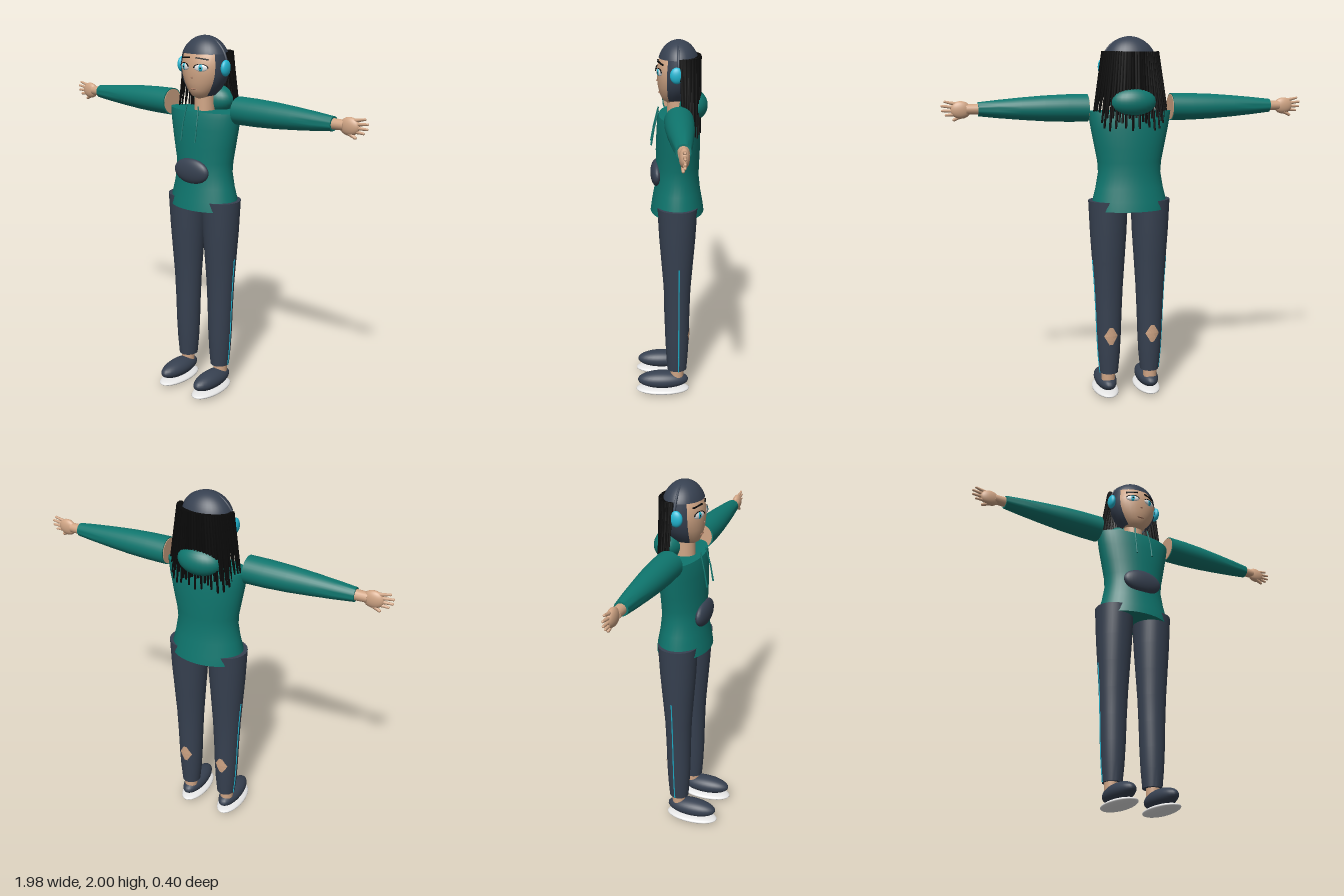
import * as THREE from 'three';
import { toCreasedNormals } from 'three/addons/utils/BufferGeometryUtils.js';

const mat = (name, color, side = THREE.FrontSide) => {
  const m = new THREE.MeshStandardMaterial({ color, side });
  m.name = name;
  return m;
};

// Closed or partial skin over elliptical rings [y, rx, rz, cz]
function loft(rings, { from = 0, to = Math.PI * 2, seg = 32, caps = true } = {}) {
  const list = rings.slice();
  if (caps) {
    const a = rings[0], b = rings[rings.length - 1];
    list.unshift([a[0], 0, 0, a[3]]);
    list.push([b[0], 0, 0, b[3]]);
  }
  const pos = [], idx = [], w = seg + 1;
  list.forEach(([y, rx, rz, cz = 0], j) => {
    for (let i = 0; i <= seg; i++) {
      const t = from + (to - from) * i / seg;
      pos.push(rx * Math.sin(t), y, cz + rz * Math.cos(t));
      if (j && i < seg) {
        const p = (j - 1) * w + i;
        idx.push(p, p + 1, p + w + 1, p, p + w + 1, p + w);
      }
    }
  });
  const g = new THREE.BufferGeometry();
  g.setAttribute('position', new THREE.Float32BufferAttribute(pos, 3));
  g.setIndex(idx);
  return toCreasedNormals(g, 0.8);
}

export function createModel() {
  const root = new THREE.Group();
  root.name = 'figure';
  const navy = mat('navy', 0x374151, THREE.DoubleSide);
  const teal = mat('teal', 0x0f766e);
  const skin = mat('skin', 0xd0a585);
  const black = mat('black', 0x090909);
  const cyan = mat('cyan', 0x22b8d4);
  const white = mat('white', 0xe6e6e6);
  const lip = mat('lip', 0xa87860);

  const add = (name, geo, material, parent = root, x = 0, y = 0, z = 0) => {
    const m = new THREE.Mesh(geo, material);
    m.name = name;
    m.position.set(x, y, z);
    parent.add(m);
    return m;
  };
  const ball = (name, material, parent, p, r) => {
    const m = add(name, new THREE.SphereGeometry(1, 28, 18), material, parent, ...p);
    m.scale.set(...r);
    return m;
  };
  const up = new THREE.Vector3(0, 1, 0);
  const rod = (name, material, parent, a, b, ra, rb, sides = 8) => {
    const A = new THREE.Vector3(...a), B = new THREE.Vector3(...b);
    const d = B.clone().sub(A);
    const m = add(name, new THREE.CylinderGeometry(rb, ra, d.length(), sides), material, parent);
    m.position.copy(A).add(B).multiplyScalar(0.5);
    m.quaternion.setFromUnitVectors(up, d.normalize());
    return m;
  };

  // Hooded top
  add('torso', loft([
    [1.08, 0.208, 0.145, -0.04], [1.13, 0.204, 0.138, -0.04], [1.2, 0.186, 0.125, -0.04],
    [1.28, 0.172, 0.116, -0.04], [1.34, 0.176, 0.116, -0.042], [1.42, 0.192, 0.118, -0.043],
    [1.52, 0.212, 0.116, -0.045], [1.58, 0.222, 0.112, -0.045], [1.61, 0.226, 0.104, -0.045],
  ], { seg: 40 }), teal);
  ball('hood', teal, root, [0, 1.66, -0.12], [0.125, 0.08, 0.08]);
  ball('pocket', navy, root, [0, 1.29, 0.07], [0.115, 0.07, 0.035]);
  for (const s of [1, -1]) {
    rod('drawstring', teal, root, [s * 0.04, 1.64, 0.06], [s * 0.048, 1.54, 0.085], 0.004, 0.004);
    rod('drawstring', teal, root, [s * 0.048, 1.54, 0.085], [s * 0.048, 1.455, 0.1], 0.004, 0.005);
  }

  // Neck, head and cap
  add('neck', new THREE.CylinderGeometry(0.053, 0.056, 0.16, 24), skin, root, 0, 1.66, -0.04);
  add('head', loft([
    [1.675, 0.03, 0.035, -0.02], [1.69, 0.055, 0.058, -0.02], [1.72, 0.085, 0.08, -0.028],
    [1.76, 0.11, 0.096, -0.034], [1.8, 0.125, 0.104, -0.038], [1.85, 0.132, 0.108, -0.04],
    [1.9, 0.122, 0.099, -0.043], [1.95, 0.09, 0.075, -0.045],
  ]), skin);
  const cap = add('cap', new THREE.SphereGeometry(1, 32, 12, 0, Math.PI * 2, 0, 1.21), navy, root, 0, 1.86, -0.045);
  cap.scale.set(0.14, 0.14, 0.11);
  add('capSides', loft([
    [1.69, 0.064, 0.066, -0.03], [1.72, 0.094, 0.088, -0.035], [1.76, 0.119, 0.103, -0.04],
    [1.8, 0.134, 0.111, -0.044], [1.85, 0.14, 0.113, -0.045], [1.91, 0.131, 0.103, -0.045],
  ], { from: 1.0, to: Math.PI * 2 - 1.0, caps: false }), navy);

  // Headphones
  add('headband', new THREE.TorusGeometry(0.149, 0.007, 8, 40, Math.PI), navy, root, 0, 1.843, -0.04);
  for (const s of [1, -1]) ball('earCup', cyan, root, [s * 0.148, 1.84, -0.032], [0.02, 0.042, 0.035]);

  // Face
  for (const s of [1, -1]) {
    const eye = new THREE.Group();
    eye.name = 'eye';
    eye.position.set(s * 0.054, 1.842, 0.056);
    eye.rotation.y = s * 0.36;
    root.add(eye);
    ball('eyeWhite', white, eye, [0, 0, 0], [0.038, 0.019, 0.009]);
    ball('iris', cyan, eye, [0, 0, 0], [0.019, 0.019, 0.0105]);
    ball('pupil', black, eye, [0, 0, 0], [0.009, 0.01, 0.012]);
    const lash = add('lash', new THREE.TorusGeometry(0.038, 0.0035, 6, 20, Math.PI), black, eye, 0, 0, 0.003);
    lash.scale.y = 0.52;
    const brow = add('brow', new THREE.BoxGeometry(0.07, 0.007, 0.009), black, root, s * 0.055, 1.888, 0.049);
    brow.rotation.set(-0.2, s * 0.36, s * -0.05);
  }
  ball('noseTip', lip, root, [0, 1.79, 0.065], [0.006, 0.005, 0.006]);
  ball('mouth', lip, root, [0, 1.728, 0.053], [0.022, 0.004, 0.006]);

  // Long hair in tapering strands around the back of the head
  const strands = 36;
  for (let i = 0; i < strands; i++) {
    const a = (i / (strands - 1) - 0.5) * Math.PI * 1.04;
    const s = Math.sin(a), c = Math.cos(a), side = Math.abs(s) > 0.85;
    const end = 1.545 + 0.035 * Math.sin(i * 2.7) + (side ? 0.05 : 0);
    rod('hairStrand', black, root,
      [s * 0.143, 1.92, -0.063 - c * 0.09], [s * 0.2, end, -0.066 - c * 0.094],
      0.013, side ? 0.003 : 0.006, 6);
  }

  // Arms, stretched out sideways
  for (const s of [1, -1]) {
    const arm = new THREE.Group();
    arm.name = s > 0 ? 'leftArm' : 'rightArm';
    arm.position.set(0, 1.628, -0.04);
    arm.rotation.y = s > 0 ? 0 : Math.PI;
    root.add(arm);
    const sleeve = loft([
      [0.23, 0.073, 0.075], [0.34, 0.072, 0.074], [0.46, 0.067, 0.068],
      [0.58, 0.058, 0.058], [0.7, 0.047, 0.047], [0.8, 0.036, 0.036],
    ]).rotateZ(-Math.PI / 2);
    add('sleeve', sleeve, teal, arm);
    const shoulder = add('shoulderEnd', new THREE.CylinderGeometry(0.068, 0.068, 0.006, 28), skin, arm, 0.23, 0, 0);
    shoulder.rotation.z = Math.PI / 2;
    rod('wrist', skin, arm, [0.79, 0, 0], [0.86, 0, 0], 0.028, 0.026, 16);
    ball('palm', skin, arm, [0.887, -0.002, 0], [0.053, 0.045, 0.024]);
    const tips = [[0.966, 0.04], [0.982, 0.018], [0.98, -0.006], [0.962, -0.028]];
    tips.forEach(([x, y], i) => {
      rod('finger', skin, arm, [0.9, 0.025 - i * 0.016, 0], [x, y, 0], 0.011, 0.006);
      ball('fingertip', skin, arm, [x, y, 0], [0.0065, 0.0065, 0.0065]);
    });
    rod('thumb', skin, arm, [0.87, -0.025, 0.004], [0.922, -0.052, 0.006], 0.013, 0.008);
    ball('thumbTip', skin, arm, [0.922, -0.052, 0.006], [0.009, 0.008, 0.008]);
  }

  // Legs and shoes
  const legRings = [
    [0.15, 0.052, 0.055], [0.25, 0.062, 0.062], [0.36, 0.068, 0.067], [0.5, 0.073, 0.069],
    [0.65, 0.08, 0.074], [0.8, 0.09, 0.086], [0.95, 0.1, 0.098], [1.13, 0.108, 0.108],
  ];
  for (const s of [1, -1]) {
    const leg = new THREE.Group();
    leg.name = s > 0 ? 'leftLeg' : 'rightLeg';
    leg.position.set(s * 0.122, 0, -0.038);
    root.add(leg);
    add('trouserLeg', loft(legRings.map(([y, rx, rz]) => {
      return [y, rx, rz, 0];
    })).translate(s * -0.004, 0, 0), navy, leg);
    // Side stripe following the outer seam
    for (let i = 0; i < 5; i++) {
      const [a, b] = [legRings[i], legRings[i + 1]];
      rod('sideStripe', cyan, leg, [s * (a[1] - 0.004), a[0], -0.008], [s * (b[1] - 0.004), b[0], -0.008], 0.0035, 0.0035, 6);
    }
    // Torn patch at the calf: diamond-edged curved piece
    const tear = loft([
      [0.325, 0.0665, 0.0655], [0.35, 0.069, 0.068], [0.375, 0.0705, 0.0695],
      [0.4, 0.071, 0.0695], [0.425, 0.072, 0.07],
    ].map(([y, rx, rz]) => [y, rx + 0.001, rz + 0.001, 0]), { from: -0.5, to: 0.5, seg: 8, caps: false });
    const p = tear.attributes.position;
    for (let i = 0; i < p.count; i++) {
      const k = Math.max(0.12, 1 - Math.abs(p.getY(i) - 0.375) / 0.055);
      const t = Math.atan2(p.getX(i), p.getZ(i)) * (k + 0.15) + Math.PI;
      const r = Math.hypot(p.getX(i), p.getZ(i));
      p.setXYZ(i, r * Math.sin(t) - s * 0.004, p.getY(i), r * Math.cos(t));
    }
    tear.computeVertexNormals();
    add('calfTear', tear, skin, leg);
    add('ankle', new THREE.CylinderGeometry(0.038, 0.038, 0.1, 20), skin, leg, 0, 0.13, 0);
    ball('shoe', navy, leg, [0, 0.08, 0.08], [0.06, 0.05, 0.145]);
    ball('sole', white, leg, [0, 0.021, 0.082], [0.072, 0.021, 0.153]);
  }
  return root;
}
